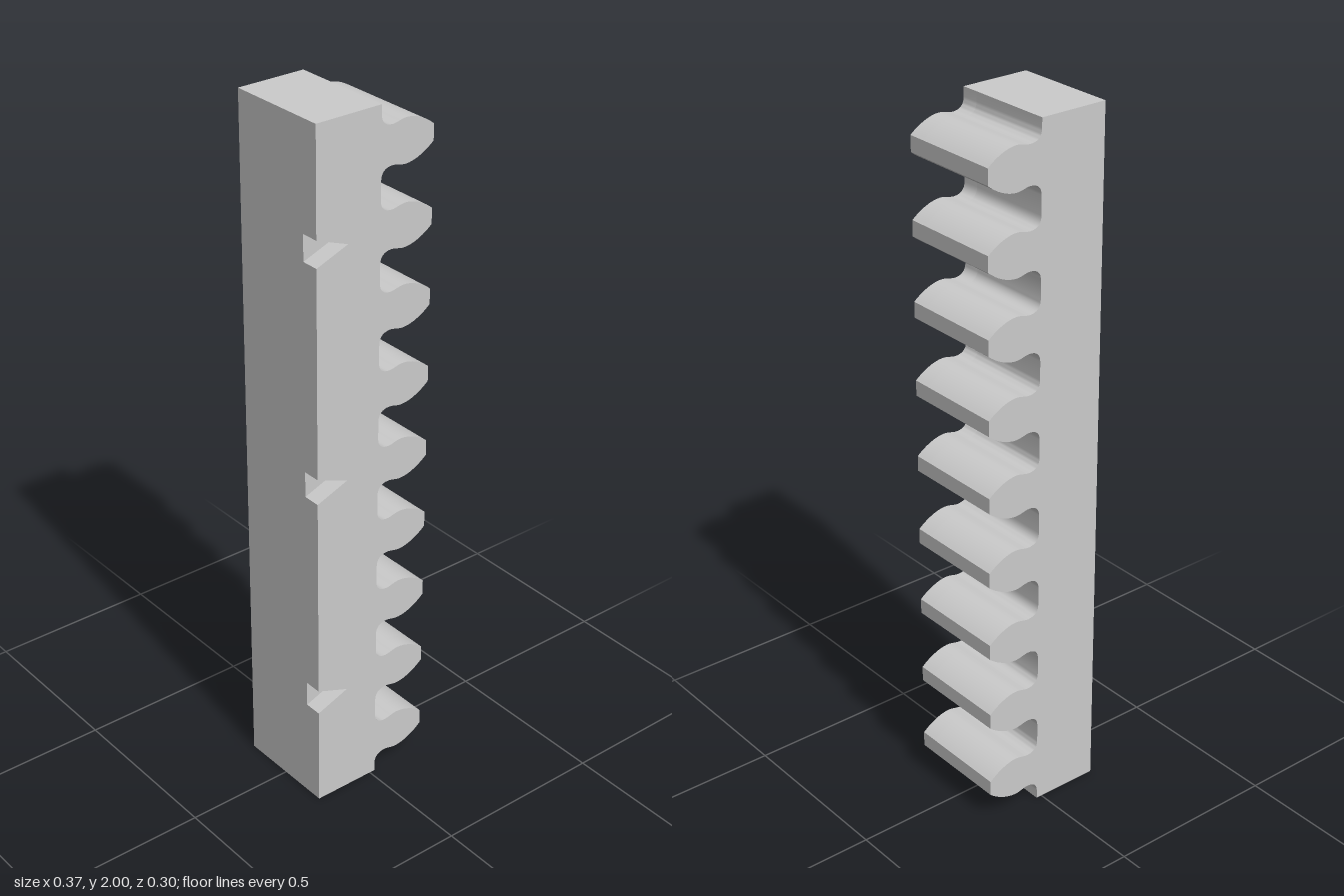
import * as THREE from 'three';
import { mergeGeometries, toCreasedNormals } from 'three/addons/utils/BufferGeometryUtils.js';

const BACK = -0.183, ROOT = 0.017, TIP = 0.183;
const HALF_DEPTH = 0.151, NOTCH_Z = 0.1;
const TEETH = 9, PITCH = 2 / TEETH;
const NOTCH_TIP = -0.085, NOTCH_HALF = 0.037;
const NOTCHES = [5 / 3, 1, 1 / 3];

// One tooth: concave root fillet, rounded flank, flat tip, mirrored above
function addTooth(s, c) {
  s.lineTo(ROOT, c - 0.085);
  s.bezierCurveTo(ROOT, c - 0.064, 0.03, c - 0.053, 0.052, c - 0.053);
  s.bezierCurveTo(0.066, c - 0.053, 0.078, c - 0.06, 0.095, c - 0.06);
  s.bezierCurveTo(0.125, c - 0.06, 0.16, c - 0.042, TIP, c - 0.022);
  s.lineTo(TIP, c + 0.022);
  s.bezierCurveTo(0.16, c + 0.042, 0.125, c + 0.06, 0.095, c + 0.06);
  s.bezierCurveTo(0.078, c + 0.06, 0.066, c + 0.053, 0.052, c + 0.053);
  s.bezierCurveTo(0.03, c + 0.053, ROOT, c + 0.064, ROOT, c + 0.085);
}

// Rack outline, with or without the V notches in the back edge
function rackShape(notched) {
  const s = new THREE.Shape();
  s.moveTo(BACK, 0);
  s.lineTo(ROOT, 0);
  for (let i = 0; i < TEETH; i++) addTooth(s, (i + 0.5) * PITCH);
  s.lineTo(ROOT, 2);
  s.lineTo(BACK, 2);
  if (notched) {
    for (const y of NOTCHES) {
      s.lineTo(BACK, y + NOTCH_HALF);
      s.lineTo(NOTCH_TIP, y);
      s.lineTo(BACK, y - NOTCH_HALF);
    }
  }
  s.closePath();
  return s;
}

// Extrude from z0 to z1 and drop the cap lying on the hidden seam
function layer(shape, z0, z1) {
  const g = new THREE.ExtrudeGeometry(shape, { depth: z1 - z0, bevelEnabled: false, curveSegments: 8 });
  g.translate(0, 0, z0);
  const p = g.attributes.position, kept = [];
  for (let i = 0; i < p.count; i += 3) {
    const onSeam = [0, 1, 2].every(k => Math.abs(p.getZ(i + k) - NOTCH_Z) < 1e-5);
    if (onSeam) continue;
    for (let k = 0; k < 3; k++) kept.push(p.getX(i + k), p.getY(i + k), p.getZ(i + k));
  }
  const out = new THREE.BufferGeometry();
  out.setAttribute('position', new THREE.Float32BufferAttribute(kept, 3));
  return out;
}

export function createModel() {
  const group = new THREE.Group();
  group.name = 'gearRack';
  const material = new THREE.MeshStandardMaterial({ color: 0xcccccc });

  // Toothed bar: plain rear layer and notched front layer
  const body = mergeGeometries([
    layer(rackShape(false), -HALF_DEPTH, NOTCH_Z),
    layer(rackShape(true), NOTCH_Z, HALF_DEPTH),
  ]);
  const rack = new THREE.Mesh(toCreasedNormals(body, 0.5), material);
  rack.name = 'toothedBar';
  group.add(rack);

  // Flat floors of the shallow V notches
  const floor = new THREE.ShapeGeometry(new THREE.Shape([
    new THREE.Vector2(BACK, -NOTCH_HALF),
    new THREE.Vector2(NOTCH_TIP, 0),
    new THREE.Vector2(BACK, NOTCH_HALF),
  ]));
  NOTCHES.forEach((y, i) => {
    const m = new THREE.Mesh(floor, material);
    m.position.set(0, y, NOTCH_Z);
    m.name = `notchFloor${i + 1}`;
    group.add(m);
  });
  return group;
}
